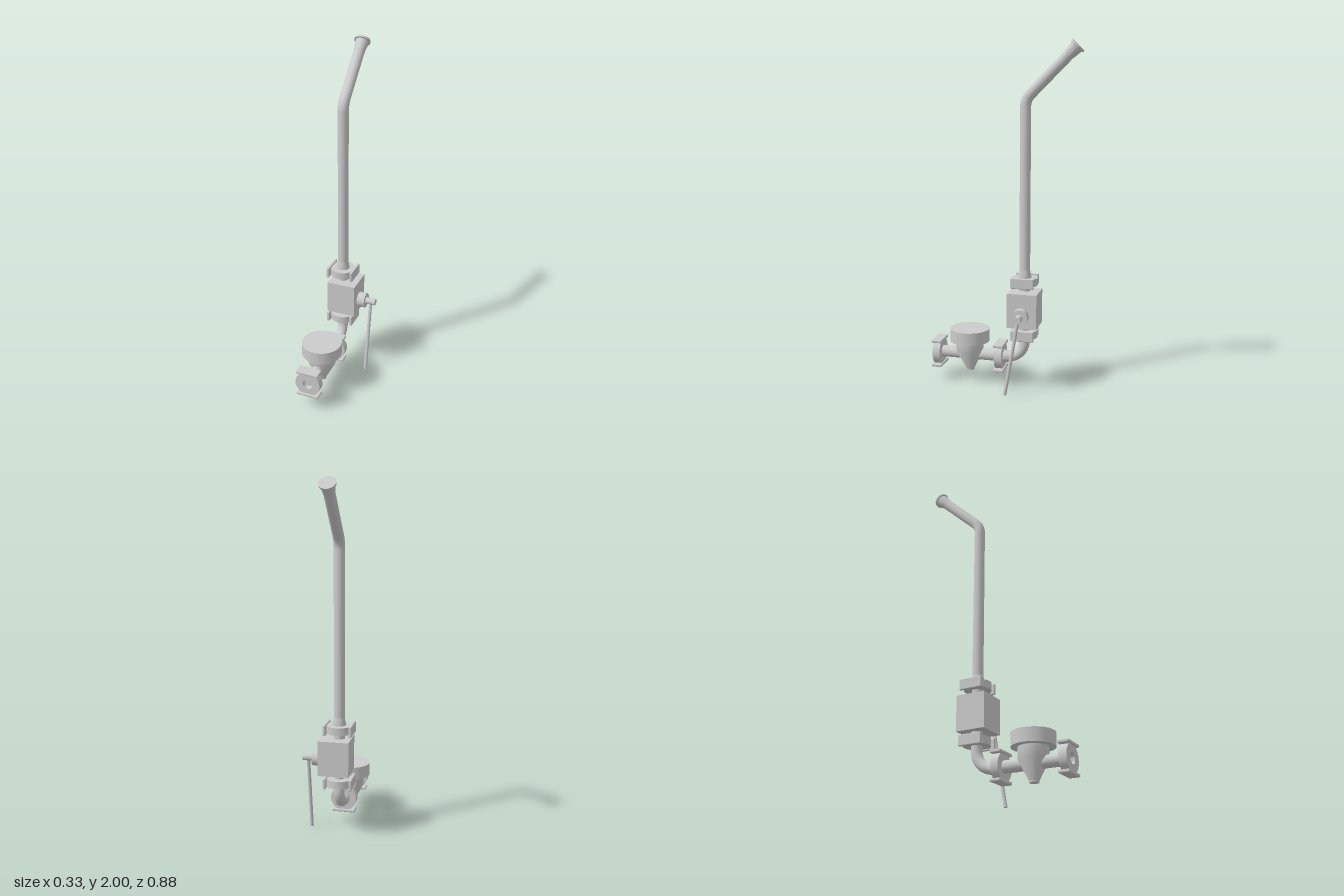
import * as THREE from 'three';
import { RoundedBoxGeometry } from 'three/addons/geometries/RoundedBoxGeometry.js';
import { toCreasedNormals } from 'three/addons/utils/BufferGeometryUtils.js';

const AXIS_X = -0.047; // pipework centre plane
const PIPE_Z = -0.115; // vertical run
const LINE_Y = 0.168; // horizontal run
const R = 0.031;
const material = new THREE.MeshStandardMaterial({ color: 0xcccccc });
const V = (x, y, z) => new THREE.Vector3(x, y, z);

function part(parent, name, geometry, x = 0, y = 0, z = 0) {
  const mesh = new THREE.Mesh(geometry, material);
  mesh.name = name;
  mesh.position.set(x, y, z);
  parent.add(mesh);
  return mesh;
}

// Turned part from [radius, height] pairs, listed bottom to top, sharp edges kept
function turned(pairs, segments = 40) {
  const lathe = new THREE.LatheGeometry(pairs.map(([r, y]) => new THREE.Vector2(r, y)), segments);
  return toCreasedNormals(lathe, 0.5);
}

// Round bar between two points
function rod(parent, name, a, b, radius) {
  const mesh = part(parent, name, new THREE.CylinderGeometry(radius, radius, a.distanceTo(b), 32));
  mesh.position.copy(a).add(b).multiplyScalar(0.5);
  mesh.quaternion.setFromUnitVectors(V(0, 1, 0), b.clone().sub(a).normalize());
  return mesh;
}

// Round clamp along local y, with two opposite retaining plates and an optional open bore
function clamp(parent, name, x, y, z, bore = false) {
  const group = new THREE.Group();
  group.name = name;
  group.position.set(x, y, z);
  const top = bore ? [[0.03, 0.022], [0.03, -0.005], [0, -0.005]] : [[0, 0.022]];
  part(group, 'clampRing', turned([[0, -0.022], [0.076, -0.022], [0.076, 0.022], ...top]));
  for (const side of [-1, 1])
    part(group, 'clampPlate', new RoundedBoxGeometry(0.017, 0.062, 0.136, 2, 0.005), side * 0.0745, 0, 0);
  parent.add(group);
  return group;
}

export function createModel() {
  const model = new THREE.Group();
  model.name = 'ventPipeAssembly';

  // Tall pipe with a 45 degree bend
  const corner = V(AXIS_X, 1.676, PIPE_Z);
  const end = V(AXIS_X, 1.968, -0.407);
  const dir = end.clone().sub(corner).normalize();
  const bendStart = V(AXIS_X, 1.631, PIPE_Z);
  const bendEnd = corner.clone().addScaledVector(dir, 0.045);
  rod(model, 'tallPipe', V(AXIS_X, 0.65, PIPE_Z), bendStart, R);
  part(model, 'pipeBend', new THREE.TubeGeometry(
    new THREE.QuadraticBezierCurve3(bendStart, corner, bendEnd), 16, R, 32));
  rod(model, 'slantedPipe', bendEnd, end.clone().addScaledVector(dir, -0.03), R);

  // Flared, capped outlet
  const outlet = part(model, 'outletFlange', turned([
    [R, -0.075], [0.038, -0.02], [0.038, -0.013], [0.046, -0.011], [0.046, 0], [0, 0]]));
  outlet.position.copy(end);
  outlet.quaternion.setFromUnitVectors(V(0, 1, 0), dir);

  // Valve block with clamps above and below
  part(model, 'pipeFoot', turned([[0.038, 0.655], [0.038, 0.662], [R, 0.7]]), AXIS_X, 0, PIPE_Z);
  clamp(model, 'upperClamp', AXIS_X, 0.633, PIPE_Z);
  rod(model, 'valveNeck', V(AXIS_X, 0.3, PIPE_Z), V(AXIS_X, 0.64, PIPE_Z), 0.032);
  part(model, 'valveBlock', new THREE.BoxGeometry(0.175, 0.202, 0.173), -0.03, 0.476, -0.119);
  clamp(model, 'lowerClamp', AXIS_X, 0.32, PIPE_Z);

  // Valve hub, spindle and hanging handle
  rod(model, 'valveHub', V(0.05, 0.453, -0.117), V(0.105, 0.453, -0.117), 0.045);
  rod(model, 'spindle', V(0.1, 0.453, -0.117), V(0.165, 0.453, -0.117), 0.02);
  rod(model, 'handle', V(0.134, 0.453, -0.117), V(0.134, 0.002, -0.04), 0.01);

  // Elbow from the vertical to the horizontal run
  const elbow = new THREE.CurvePath();
  const a = V(AXIS_X, 0.27, PIPE_Z), b = V(AXIS_X, LINE_Y, -0.013);
  const k = 0.102 * 0.5523;
  elbow.add(new THREE.LineCurve3(V(AXIS_X, 0.31, PIPE_Z), a));
  elbow.add(new THREE.CubicBezierCurve3(
    a, V(AXIS_X, a.y - k, a.z), V(AXIS_X, b.y, b.z - k), b));
  elbow.add(new THREE.LineCurve3(b, V(AXIS_X, LINE_Y, 0.02)));
  part(model, 'elbow', new THREE.TubeGeometry(elbow, 40, R, 32));
  part(model, 'elbowFlare', turned([[R, -0.035], [0.037, -0.003], [0.037, 0.02]]),
    AXIS_X, LINE_Y, 0.005).rotation.x = Math.PI / 2;

  // Horizontal run with end clamps, plates above and below
  rod(model, 'inletPipe', V(AXIS_X, LINE_Y, 0.03), V(AXIS_X, LINE_Y, 0.4), 0.034);
  for (const [name, z, bore] of [['rearClamp', 0.031, false], ['inletClamp', 0.411, true]])
    clamp(model, name, AXIS_X, LINE_Y, z, bore).rotation.set(Math.PI / 2, Math.PI / 2, 0, 'XYZ');

  // Strainer bowl with wide lid and conical bottom
  part(model, 'strainer', turned([
    [0, 0.069], [0.026, 0.069], [0.026, 0.078], [0.081, 0.185], [0.081, 0.25],
    [0.118, 0.25], [0.118, 0.325], [0, 0.325]], 48), AXIS_X, 0, 0.22);

  return model;
}
